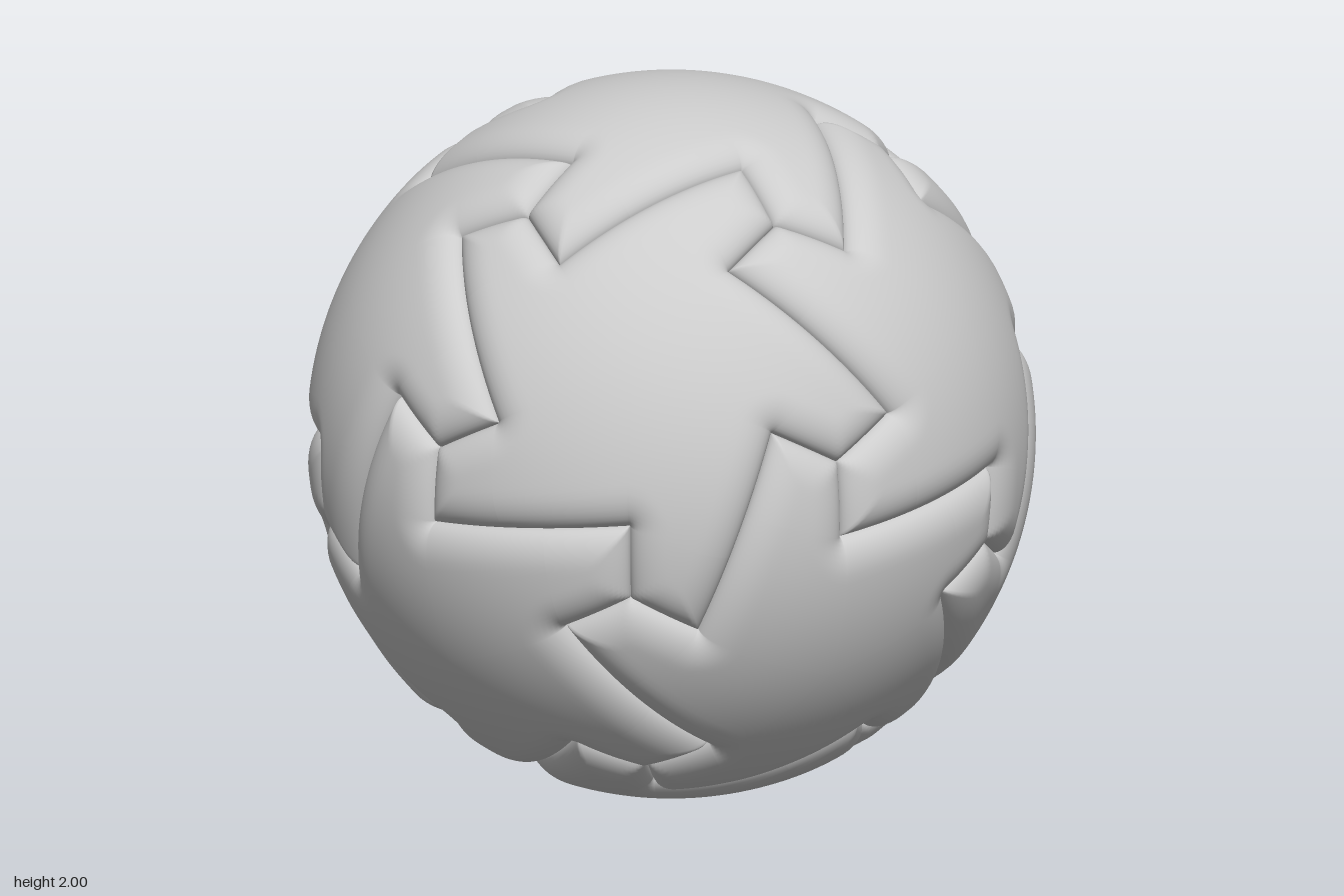
import * as THREE from 'three';
import { mergeGeometries, mergeVertices } from 'three/addons/utils/BufferGeometryUtils.js';

const N = 24, M = 20;            // grid steps across a sector and along its arm
const BEVEL = 0.11, DEPTH = 0.06; // rounded rim of each piece
const UP = new THREE.Vector3(0, 1, 0);
const FIFTH = Math.PI * 2 / 5;

const polar = (tilt, azimuth) => new THREE.Vector3(
  Math.sin(tilt) * Math.sin(azimuth), Math.cos(tilt), Math.sin(tilt) * Math.cos(azimuth));
const ease = t => (1 - Math.cos(Math.PI * t)) / 2; // crowds grid lines near the rims
const mix = (a, b, t) => a.clone().lerp(b, t);

// Angle between a point and a great-circle arc
function arcDistance(p, [a, b]) {
  const n = a.clone().cross(b).normalize();
  const inside = p.dot(n.clone().cross(a)) > 0 && p.dot(b.clone().cross(n)) > 0;
  return inside ? Math.asin(Math.min(1, Math.abs(p.dot(n)))) : Math.min(p.angleTo(a), p.angleTo(b));
}

// One five-armed pinwheel piece, centred on the top of a unit sphere
function pinwheelGeometry() {
  const corner = 0.6524, notch = 0.4294;
  const A = polar(corner, 0), P = polar(notch, 0);
  const B = polar(corner, -FIFTH), P2 = polar(notch, -FIFTH);
  const mid = A.clone().add(B).normalize();
  const Q = mid.clone().multiplyScalar(2 * mid.dot(P)).sub(P); // half turn of P

  // Outline: a zigzag of three arcs, five times round
  const outline = [];
  for (let k = 0; k < 5; k++) {
    const pts = [A, P, Q, B].map(v => v.clone().applyAxisAngle(UP, k * FIFTH));
    for (let i = 0; i < 3; i++) outline.push([pts[i], pts[i + 1]]);
  }

  // One sector as a grid, with the rim rounded down towards the outline
  const K = mix(P, Q, 0.6);
  const pos = [], index = [];
  for (let i = 0; i <= N + M; i++) {
    const s = i <= N ? ease(i / N) : ease((i - N) / M);
    const low = i <= N ? mix(UP, P2, s) : mix(P2, B, s);
    const high = i <= N ? mix(P, K, s) : mix(K, Q, s);
    for (let j = 0; j <= N; j++) {
      const p = mix(low, high, ease(j / N)).normalize();
      const d = Math.min(...outline.map(arc => arcDistance(p, arc)));
      const f = 1 - Math.min(1, d / BEVEL);
      p.multiplyScalar(1 - DEPTH * (1 - Math.sqrt(1 - f * f)));
      pos.push(p.x, p.y, p.z);
      if (i < N + M && j < N) {
        const a = i * (N + 1) + j, b = a + N + 1;
        index.push(a, b, b + 1, a, b + 1, a + 1);
      }
    }
  }
  const sector = new THREE.BufferGeometry();
  sector.setAttribute('position', new THREE.Float32BufferAttribute(pos, 3));
  sector.setIndex(index);

  const sectors = [];
  for (let k = 0; k < 5; k++) sectors.push(sector.clone().rotateY(k * FIFTH));
  const piece = mergeVertices(mergeGeometries(sectors), 1e-4);
  piece.computeVertexNormals();
  return piece;
}

export function createModel() {
  const group = new THREE.Group();
  group.name = 'interlockingBall';
  const grey = new THREE.MeshStandardMaterial({ color: 0xcccccc });
  grey.name = 'plain grey';
  const geometry = pinwheelGeometry();

  // Top piece and the five around it, each a half turn about a shared edge
  const turns = [new THREE.Quaternion()];
  for (let k = 0; k < 5; k++) {
    const axis = polar(Math.atan(2), (k + 0.5) * FIFTH).add(UP).normalize();
    turns.push(new THREE.Quaternion().setFromAxisAngle(axis, Math.PI));
  }
  // The lower half is the upper half turned over about a level axis
  const flip = new THREE.Quaternion().setFromAxisAngle(polar(Math.PI / 2, FIFTH / 4), Math.PI);

  turns.forEach((turn, i) => {
    for (const [half, q] of [['upper', turn], ['lower', flip.clone().multiply(turn)]]) {
      const mesh = new THREE.Mesh(geometry, grey);
      mesh.name = `${half}Piece${i + 1}`;
      mesh.quaternion.copy(q);
      mesh.position.y = 1;
      group.add(mesh);
    }
  });
  return group;
}
